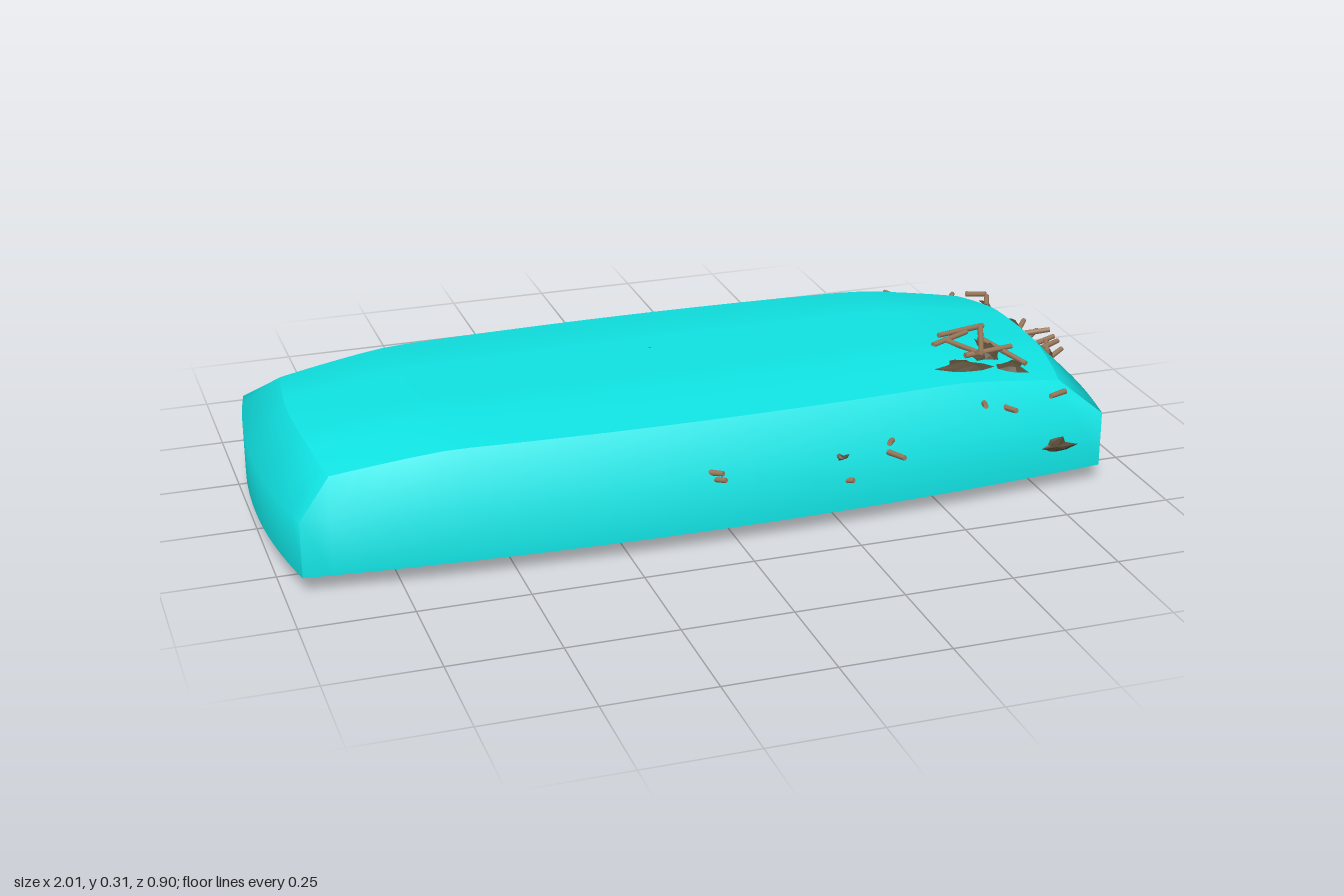
import * as THREE from 'three';
import { ParametricGeometry } from 'three/addons/geometries/ParametricGeometry.js';

const CX = -0.03, CZ = -0.007;
const shellMat = new THREE.MeshStandardMaterial({ color: 0x10e2e2 });
const twigMat = new THREE.MeshStandardMaterial({ color: 0x9c7a5c });
const dirtMat = new THREE.MeshStandardMaterial({ color: 0x554935, flatShading: true, side: THREE.DoubleSide });

const ramp = (t, start) => Math.max(0, (Math.abs(t) - start) / (1 - start)) ** 1.25;

// Point on the body: level 0 = bottom rim, 1 = shoulder, 2 = top; u, v run -1..1 over length and width
function bodyPoint(level, u, v, out) {
  const top = level === 2;
  const halfX = top ? 0.88 - 0.03 * v * v : 0.97 - 0.04 * v * v;
  const halfZ = top ? 0.335 - 0.045 * u * u : 0.412 - 0.052 * u * u;
  const y = top ? 0.295 - 0.035 * ramp(u, 0.68) - 0.025 * ramp(v, 0.4) : level ? 0.17 : 0.04;
  return out.set(CX + u * halfX, y, CZ + v * halfZ);
}

// Outer surface of the +x end, and of the long sides (s = 1 front, -1 back)
const endX = (y, z) => 0.94 - 0.3 * z * z - Math.max(0, y - 0.17) * 0.95;
const sideZ = (x, y, s) => CZ + s * (0.412 - 0.055 * (x - CX) ** 2 - Math.max(0, y - 0.17) * 0.78);
const topY = (x, z) => 0.295 - 0.035 * ramp((x - CX) / 0.88, 0.68) - 0.025 * ramp((z - CZ) / 0.335, 0.4);

function createBody() {
  const g = new THREE.Group();
  g.name = 'body';
  const add = (name, fn, nu, nv) => {
    const geo = new ParametricGeometry(fn, nu, nv);
    geo.computeVertexNormals();
    const m = new THREE.Mesh(geo, shellMat);
    m.name = name;
    g.add(m);
  };
  const s = (t) => t * 2 - 1;
  add('top', (u, v, p) => bodyPoint(2, s(u), -s(v), p), 28, 16);
  add('underside', (u, v, p) => bodyPoint(0, s(u), s(v), p), 20, 10);
  // Each wall includes its sloped shoulder
  const lv = (v) => Math.min(2, Math.round(v * 2));
  const wall = (name, at, n) => add(name, (u, v, p) => {
    const [a, b] = at(s(u));
    return bodyPoint(lv(v), a, b, p);
  }, n, 2);
  wall('frontWall', (t) => [t, 1], 28);
  wall('backWall', (t) => [-t, -1], 28);
  wall('leftWall', (t) => [1, -t], 16);
  wall('rightWall', (t) => [-1, t], 16);
  return g;
}

// Thin round stick between two points
function twig(a, b, r = 0.007) {
  const A = new THREE.Vector3(...a), B = new THREE.Vector3(...b);
  const m = new THREE.Mesh(new THREE.CylinderGeometry(r * 0.85, r, A.distanceTo(B), 7), twigMat);
  m.position.copy(A).add(B).multiplyScalar(0.5);
  m.quaternion.setFromUnitVectors(new THREE.Vector3(0, 1, 0), B.sub(A).normalize());
  m.name = 'twig';
  return m;
}

// Ragged faceted lump lying on a surface with the given normal
function lump(name, pos, normal, rx, rz, depth, seed) {
  const geo = new THREE.ConeGeometry(1, 1, 9, 2);
  const p = geo.attributes.position;
  for (let i = 0; i < p.count; i++) {
    const x = p.getX(i), z = p.getZ(i), h = p.getY(i) + 0.5;
    const a = Math.atan2(z, x);
    const k = (1 + 0.3 * Math.sin(3 * a + seed) + 0.18 * Math.sin(5 * a + seed * 2.3)) * (h > 0.2 ? 1.25 : 1);
    const lift = h > 0.2 && h < 0.8 ? 0.2 * Math.sin(2 * a + seed) : 0;
    p.setXYZ(i, x * k * rx, (h + lift) * depth - 0.004, z * k * rz);
  }
  geo.computeVertexNormals();
  const m = new THREE.Mesh(geo, dirtMat);
  m.position.set(...pos);
  m.quaternion.setFromUnitVectors(new THREE.Vector3(0, 1, 0), new THREE.Vector3(...normal).normalize());
  m.name = name;
  return m;
}

export function createModel() {
  const model = new THREE.Group();
  model.name = 'litteredSlab';
  model.add(createBody());

  // Dirt clods under the slab: x, z, radius x, radius z, depth
  const clods = new THREE.Group();
  clods.name = 'undersideDirt';
  [
    [0.58, -0.19, 0.07, 0.07, 0.014], [0.41, -0.22, 0.05, 0.06, 0.014], [0.37, 0.07, 0.07, 0.07, 0.018],
    [0.27, -0.02, 0.07, 0.08, 0.018], [0.31, -0.12, 0.03, 0.06, 0.012], [0.17, 0.18, 0.1, 0.09, 0.04],
    [0.3, 0.18, 0.06, 0.06, 0.022], [-0.21, -0.13, 0.07, 0.07, 0.012], [-0.32, 0.02, 0.04, 0.08, 0.012],
    [-0.39, 0.12, 0.05, 0.06, 0.014], [-0.48, 0.23, 0.08, 0.09, 0.03],
  ].forEach(([x, z, rx, rz, d], i) => clods.add(lump('dirtClod', [x, 0.04, z], [0, -1, 0], rx, rz, d + 0.004, i * 1.7)));
  model.add(clods);

  // Pile of twigs and flakes on top near the left front corner
  const pile = new THREE.Group();
  pile.name = 'topPile';
  [
    [0.74, 0.03, 0.6, 0.09], [0.73, 0.04, 0.66, 0.2], [0.61, 0.1, 0.65, 0.2], [0.57, 0.13, 0.68, 0.07],
    [0.7, 0.1, 0.75, 0.25], [0.62, 0.2, 0.75, 0.17],
  ].forEach(([x1, z1, x2, z2], i) => pile.add(
    twig([x1, 0.286 + 0.003 * (i % 4), z1], [x2, topY(x2, z2) + 0.008 + 0.003 * (i % 3), z2])));
  [[0.6, 0.235, 0.06, 0.03], [0.7, 0.15, 0.025, 0.05], [0.72, 0.24, 0.035, 0.03], [0.67, 0.19, 0.03, 0.02]]
    .forEach(([x, z, rx, rz], i) => pile.add(lump('flake', [x, topY(x, z), z], [0.08, 1, 0.08], rx, rz, 0.014, i * 2.1)));
  pile.add(lump('flake', [-0.06, 0.294, -0.06], [0, 1, 0], 0.01, 0.008, 0.006, 1));
  model.add(pile);

  // Debris on the left end: flakes y, z, radii
  const end = new THREE.Group();
  end.name = 'endDebris';
  [
    [0.125, 0.07, 0.018, 0.03], [0.22, 0.08, 0.02, 0.03], [0.12, -0.105, 0.013, 0.013], [0.115, -0.28, 0.005, 0.012],
    [0.237, -0.08, 0.014, 0.03], [0.238, -0.21, 0.016, 0.022], [0.165, -0.1, 0.006, 0.012],
  ].forEach(([y, z, ry, rz], i) => end.add(
    lump('flake', [endX(y, z), y, z], y > 0.17 ? [0.7, 0.7, 0] : [1, 0, 0], ry, rz, 0.012, i * 1.3 + 0.5)));
  // Twigs: y, z, then the offset of the free end
  [
    [0.235, 0.12, 0.02, 0.005, -0.06], [0.16, -0.1, 0.07, 0.01, -0.02], [0.15, -0.02, 0.05, 0.02, -0.02],
    [0.2, -0.06, 0.03, 0.01, -0.02], [0.2, -0.11, 0.03, 0.01, -0.04], [0.24, 0, 0.05, 0.01, 0.02],
    [0.24, -0.29, 0.03, 0.01, 0.04], [0.24, -0.2, 0.02, 0.005, -0.05], [0.24, 0.1, 0.05, 0.0, -0.03],
  ].forEach(([y, z, dx, dy, dz]) => end.add(
    twig([endX(y, z) - 0.005, y, z], [endX(y, z) + dx, y + dy, z + dz], 0.007)));
  model.add(end);

  // Twigs poking out of the long sides: x, y, side, run along x, reach
  const sides = new THREE.Group();
  sides.name = 'sideDebris';
  [
    [-0.65, 0.2, -1, 0.01, 0.015], [-0.14, 0.185, -1, 0.0, 0.035], [0, 0.2, -1, 0.01, 0.02],
    [0.13, 0.16, -1, 0.015, 0.02], [0.35, 0.2, -1, 0.02, 0.02], [0.52, 0.15, -1, 0.02, 0.035],
    [0.74, 0.2, -1, -0.05, 0.09], [0.73, 0.12, -1, 0.0, 0.04], [0.6, 0.19, -1, -0.02, 0.02],
    [0.82, 0.2, -1, 0.03, 0.03], [-0.07, 0.175, 1, 0.025, 0.02], [-0.06, 0.16, 1, 0.02, 0.02],
    [0.35, 0.165, 1, 0.02, 0.05], [0.37, 0.185, 1, -0.02, 0.02], [0.25, 0.11, 1, 0.015, 0.01],
    [0.61, 0.225, 1, -0.01, 0.025], [0.66, 0.21, 1, 0.01, 0.03], [0.82, 0.22, 1, -0.05, 0.02],
  ].forEach(([x, y, s, dx, reach]) => {
    const z = sideZ(x, y, s);
    sides.add(twig([x, y, z - s * 0.01], [x + dx, y + 0.006, z + s * reach]));
  });
  [[0.78, 0.11, 1, 0.045, 0.018], [0.24, 0.17, 1, 0.016, 0.008], [0.8, 0.14, -1, 0.02, 0.02], [0.72, 0.19, -1, 0.02, 0.012]]
    .forEach(([x, y, s, rx, ry], i) => sides.add(
      lump('flake', [x, y, sideZ(x, y, s)], [0, y > 0.17 ? 0.7 : 0, s], rx, ry, 0.01, i * 1.9)));
  model.add(sides);
  return model;
}
